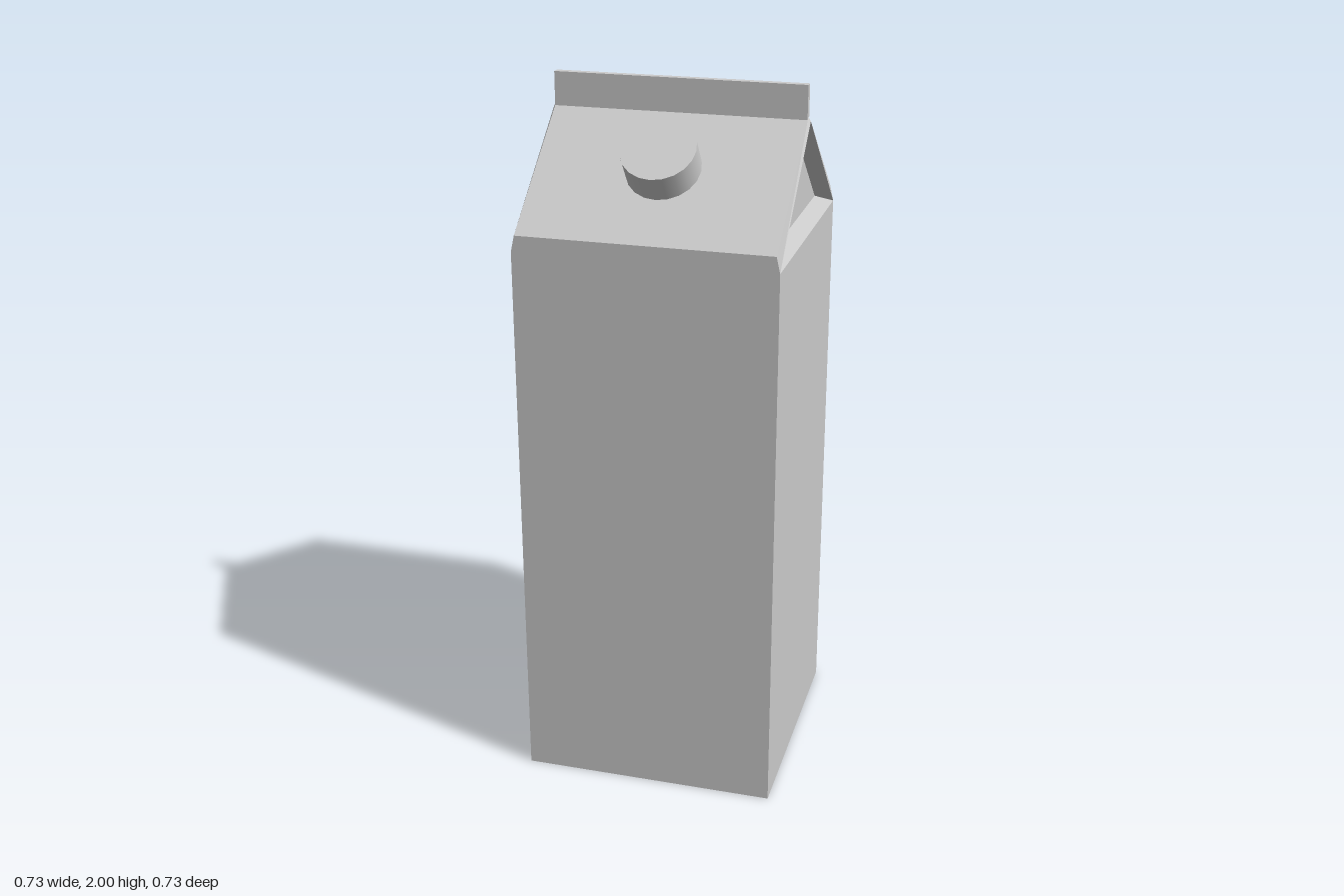
import * as THREE from 'three';

const HALF = 0.363;      // half width of the square carton
const SHOULDER = 1.59;   // height where the gable starts
const EAVE = 1.635;      // lower edge of the roof slope
const RIDGE = 1.915;     // upper edge of the roof slope

// Flat-shaded surface from one quarter of polygons, mirrored across x and z
function mirroredQuarter(faces) {
  const pos = [];
  for (const sx of [1, -1]) for (const sz of [1, -1]) {
    for (const face of faces) {
      const pts = face.map(([x, y, z]) => [x * sx, y, z * sz]);
      if (sx * sz < 0) pts.reverse();
      for (let i = 1; i < pts.length - 1; i++) pos.push(...pts[0], ...pts[i], ...pts[i + 1]);
    }
  }
  const g = new THREE.BufferGeometry();
  g.setAttribute('position', new THREE.Float32BufferAttribute(pos, 3));
  g.computeVertexNormals();
  return g;
}

export function createModel() {
  const group = new THREE.Group();
  const material = new THREE.MeshStandardMaterial({ color: 0xcccccc });
  const add = (name, geometry, y = 0, z = 0) => {
    const mesh = new THREE.Mesh(geometry, material);
    mesh.name = name;
    mesh.position.set(0, y, z);
    group.add(mesh);
    return mesh;
  };

  // Square carton body
  add('body', new THREE.BoxGeometry(HALF * 2, SHOULDER, HALF * 2), SHOULDER / 2);

  // Gable roof with recessed triangular ends
  const corner = [HALF, SHOULDER, HALF];
  const eave = [0.353, EAVE, HALF];
  const rimTop = [0.36, 1.902, 0];
  const ridge = [0.353, RIDGE, 0];
  const panelCorner = [0.313, 1.608, 0.335];
  const panelMiddle = [0.313, 1.608, 0];
  const panelTop = [0.313, 1.888, 0];
  add('gableRoof', mirroredQuarter([
    [[0, SHOULDER, HALF], corner, eave, [0, EAVE, HALF]],         // wall above the shoulder
    [[0, EAVE, HALF], eave, ridge, [0, RIDGE, 0]],                // roof slope
    [corner, rimTop, ridge, eave],                                // bevelled rim
    [corner, panelCorner, panelTop, rimTop],                      // underside of the rim
    [corner, [HALF, SHOULDER, 0], panelMiddle, panelCorner],      // sloping ledge
    [panelCorner, panelMiddle, panelTop],                         // recessed end panel
  ]));

  // Upright sealed fin along the ridge
  add('topFin', new THREE.BoxGeometry(0.706, 0.1, 0.022), 1.95);

  // Round screw cap, square to the front slope
  const tilt = Math.atan2(RIDGE - EAVE, HALF);
  const capHeight = 0.09;
  const cap = add('cap', new THREE.CylinderGeometry(0.103, 0.103, capHeight, 20),
    1.855 - Math.cos(tilt) * capHeight / 2, 0.215 - Math.sin(tilt) * capHeight / 2);
  cap.rotation.x = tilt;

  return group;
}
